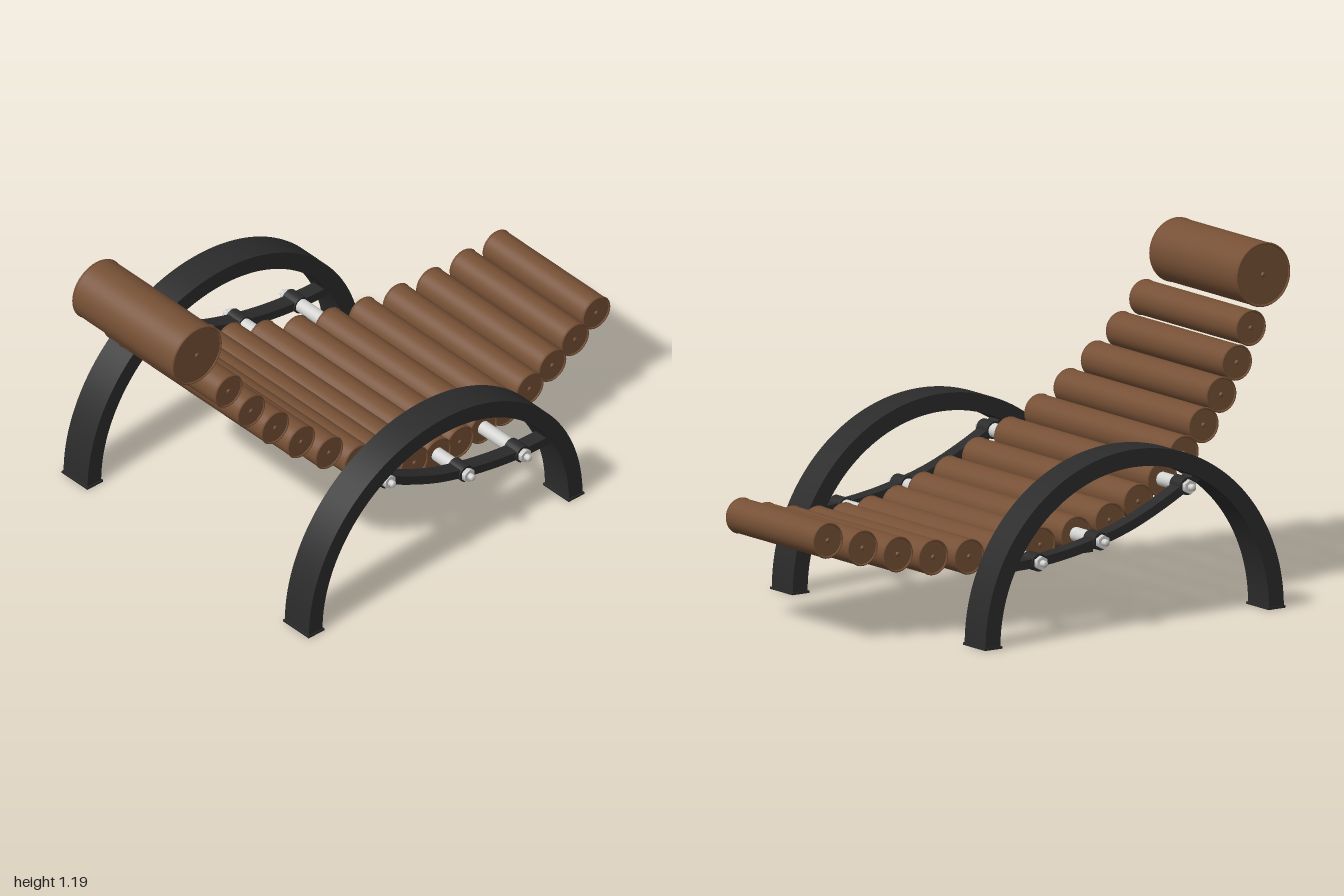
import * as THREE from 'three';
import { toCreasedNormals } from 'three/addons/utils/BufferGeometryUtils.js';

const mat = (name, color) => {
  const m = new THREE.MeshStandardMaterial({ color });
  m.name = name;
  return m;
};

export function createModel() {
  const leather = mat('brown leather', 0x765035);
  const iron = mat('black metal', 0x2b2b2c);
  const steel = mat('light steel', 0xd2d2d0);
  const model = new THREE.Group();
  model.name = 'loungeChair';

  const add = (parent, name, geometry, material, x = 0, y = 0, z = 0) => {
    const mesh = new THREE.Mesh(geometry, material);
    mesh.name = name;
    mesh.position.set(x, y, z);
    parent.add(mesh);
    return mesh;
  };
  // Cylinder lying along z between two depths
  const rod = (parent, name, r, z0, z1, material, x, y, sides = 24) =>
    add(parent, name, new THREE.CylinderGeometry(r, r, z1 - z0, sides).rotateX(Math.PI / 2),
      material, x, y, (z0 + z1) / 2);
  // Flat outline given thickness along z, smooth along its curves
  const slab = (shape, z0, z1) => {
    const g = new THREE.ExtrudeGeometry(shape, { depth: z1 - z0, bevelEnabled: false, curveSegments: 48 });
    return toCreasedNormals(g.translate(0, 0, z0), 0.5);
  };

  // Rolls of the seat: x, y, half width, radius
  const R = 0.062;
  const rolls = [
    [-0.888, 1.077, 0.257, 0.112], [-0.795, 0.912, 0.315, R], [-0.717, 0.805, 0.343, R],
    [-0.632, 0.708, 0.371, R], [-0.538, 0.618, 0.399, R], [-0.435, 0.537, 0.427, R],
    [-0.327, 0.465, 0.453, R], [-0.21, 0.404, 0.477, R], [-0.09, 0.353, 0.477, R],
    [0.035, 0.316, 0.453, R], [0.163, 0.289, 0.425, R], [0.293, 0.273, 0.399, R],
    [0.423, 0.27, 0.371, R], [0.554, 0.279, 0.343, R], [0.682, 0.3, 0.315, R],
    [0.81, 0.332, 0.287, R], [0.934, 0.368, 0.257, R],
  ];
  const cushions = new THREE.Group();
  cushions.name = 'cushions';
  model.add(cushions);
  rolls.forEach(([x, y, w, r], i) => {
    const roll = new THREE.Group();
    roll.name = i === 0 ? 'headrest' : 'seatRoll';
    roll.position.set(x, y, 0);
    cushions.add(roll);
    rod(roll, 'cushion', r - 0.001, -w, w, leather, 0, 0, 40);
    for (const s of [-1, 1]) {
      // Piping round the end and a button in its middle
      add(roll, 'piping', new THREE.TorusGeometry(r - 0.003, 0.004, 6, 40), leather, 0, 0, s * w);
      const button = add(roll, 'button', new THREE.SphereGeometry(0.009, 10, 8), leather, 0, 0, s * w);
      button.scale.z = 0.6;
    }
  });

  // Arched leg outline
  const cx = -0.085, cy = 0.004, outer = 0.624, inner = 0.562;
  const arch = new THREE.Shape();
  arch.moveTo(cx + outer, 0);
  arch.lineTo(cx + outer, cy);
  arch.absarc(cx, cy, outer, 0, Math.PI, false);
  arch.lineTo(cx - outer, 0);
  arch.lineTo(cx - inner, 0);
  arch.absarc(cx, cy, inner, Math.PI, 0, true);
  arch.lineTo(cx + inner, 0);
  arch.closePath();

  // Curved brace outline, offset either side of its centre line
  const path = new THREE.CatmullRomCurve3([
    [-0.4, 0.513], [-0.327, 0.465], [-0.21, 0.404], [-0.09, 0.353], [0.035, 0.316],
    [0.163, 0.289], [0.293, 0.273], [0.45, 0.268],
  ].map(([x, y]) => new THREE.Vector3(x, y, 0)));
  const upper = [], lower = [];
  for (let i = 0; i <= 32; i++) {
    const p = path.getPoint(i / 32), t = path.getTangent(i / 32);
    upper.push(new THREE.Vector2(p.x - t.y * 0.016, p.y + t.x * 0.016));
    lower.push(new THREE.Vector2(p.x + t.y * 0.016, p.y - t.x * 0.016));
  }
  const brace = new THREE.Shape([...lower, ...upper.reverse()]);

  const bolts = [[-0.327, 0.465], [0.035, 0.316], [0.293, 0.273]];
  for (const side of [1, -1]) {
    const frame = new THREE.Group();
    frame.name = side > 0 ? 'frontFrame' : 'backFrame';
    // The back frame is the front one turned over in depth
    const place = (z0, z1) => (side > 0 ? [z0, z1] : [-z1, -z0]);
    model.add(frame);
    add(frame, 'archedLeg', slab(arch, ...place(0.509, 0.633)), iron);
    add(frame, 'brace', slab(brace, ...place(0.545, 0.6)), iron);
    for (const s of [-1, 1]) {
      add(frame, 'footPlate', new THREE.BoxGeometry(0.072, 0.008, 0.132), iron,
        cx + s * (outer + inner) / 2, 0.004, side * 0.571);
    }
    for (const [x, y] of bolts) {
      rod(frame, 'supportRod', 0.025, ...place(0.36, 0.55), steel, x, y);
      rod(frame, 'collar', 0.031, ...place(0.54, 0.605), iron, x, y);
      rod(frame, 'nut', 0.025, ...place(0.6, 0.622), steel, x, y, 6);
      rod(frame, 'boltShank', 0.012, ...place(0.615, 0.636), steel, x, y, 12);
      const tip = add(frame, 'boltTip', new THREE.SphereGeometry(0.012, 12, 8), steel, x, y, side * 0.636);
      tip.scale.z = 0.6;
    }
  }
  return model;
}
